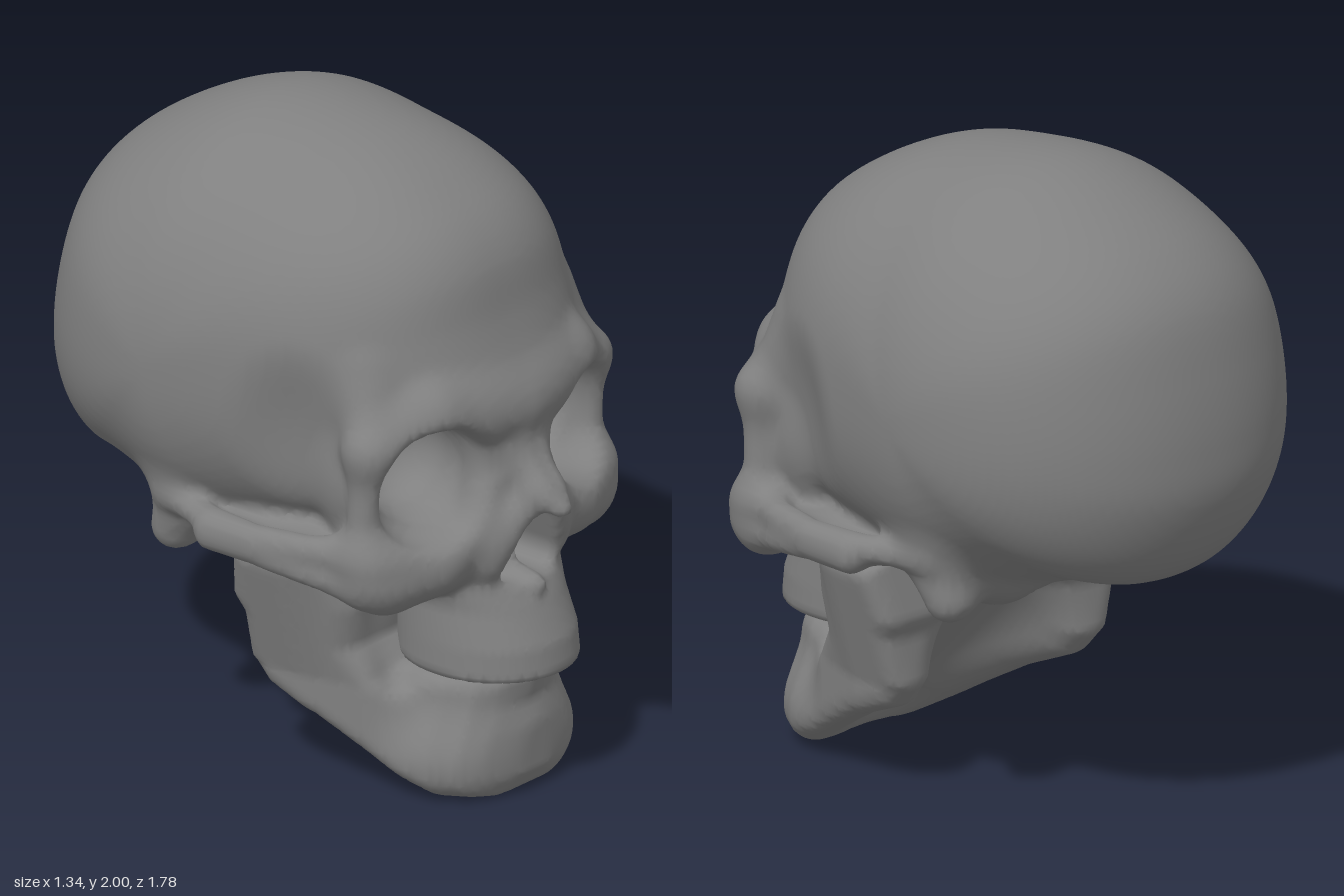
import * as THREE from 'three';

// ---- soft distance helpers; x is mirrored, so shapes are given for the left half ----
const smin = (a, b, k) => Math.min(a, b) - Math.max(k - Math.abs(a - b), 0) ** 2 / (4 * k);
const smax = (a, b, k) => -smin(-a, -b, k);
const clamp = (v) => Math.min(1, Math.max(0, v));
const { smoothstep } = THREE.MathUtils;

function ellipsoid(x, y, z, c, r) {
  const a = (x - c[0]) / r[0], b = (y - c[1]) / r[1], d = (z - c[2]) / r[2];
  const k0 = Math.hypot(a, b, d), k1 = Math.hypot(a / r[0], b / r[1], d / r[2]);
  return k1 < 1e-6 ? -Math.min(...r) : k0 * (k0 - 1) / k1;
}

// rod from a to b whose radius changes from ra to rb
function rod(x, y, z, a, b, ra, rb) {
  const u = b[0] - a[0], v = b[1] - a[1], w = b[2] - a[2];
  const t = clamp(((x - a[0]) * u + (y - a[1]) * v + (z - a[2]) * w) / (u * u + v * v + w * w));
  return Math.hypot(x - a[0] - u * t, y - a[1] - v * t, z - a[2] - w * t) - ra - (rb - ra) * t;
}

// chain of rods through points [x, y, z, radius]
function chain(x, y, z, pts) {
  let d = Infinity;
  for (let i = 1; i < pts.length; i++)
    d = Math.min(d, rod(x, y, z, pts[i - 1], pts[i], pts[i - 1][3], pts[i][3]));
  return d;
}

// lookup in rows of [key, ...values]
function lookup(rows, key, col) {
  let i = 0;
  while (i < rows.length - 2 && key > rows[i + 1][0]) i++;
  const t = clamp((key - rows[i][0]) / (rows[i + 1][0] - rows[i][0]));
  return rows[i][col] + (rows[i + 1][col] - rows[i][col]) * t;
}

// signed distance to a closed outline in the z-y plane
function outline(pts, px, py) {
  let d = Infinity, s = 1;
  for (let i = 0, j = pts.length - 1; i < pts.length; j = i++) {
    const [ax, ay] = pts[i], [bx, by] = pts[j];
    const ex = bx - ax, ey = by - ay, wx = px - ax, wy = py - ay;
    const t = clamp((wx * ex + wy * ey) / (ex * ex + ey * ey));
    d = Math.min(d, Math.hypot(wx - ex * t, wy - ey * t));
    if ((ay > py) !== (by > py) && px < ax + ex * (py - ay) / ey) s = -s;
  }
  return s * d;
}

// ---- cranium: side profile [z, y] as a polar radius, softer away from the middle ----
const CZ = -0.2, CY = 1.3, BINS = 360;
const profile = [
  [-0.15, 2], [0.12, 1.97], [0.27, 1.93], [0.42, 1.86], [0.55, 1.765], [0.62, 1.66], [0.66, 1.5],
  [0.69, 1.41], [0.74, 1.29], [0.745, 1.22], [0.715, 1.14], [0.65, 1], [0.5, 0.86], [0.25, 0.77],
  [0, 0.72], [-0.25, 0.7], [-0.42, 0.73], [-0.58, 0.785], [-0.71, 0.8], [-0.8, 0.88], [-0.885, 1.08],
  [-0.89, 1.24], [-0.857, 1.45], [-0.79, 1.66], [-0.68, 1.79], [-0.47, 1.92], [-0.29, 1.985]];
const polar = new Float32Array(BINS);
new THREE.CatmullRomCurve3(profile.map(([z, y]) => new THREE.Vector3(z, y, 0)), true)
  .getPoints(8000).forEach((p) => {
    const a = Math.atan2(p.y - CY, p.x - CZ) / (2 * Math.PI) + 1;
    polar[Math.round(a * BINS) % BINS] = Math.hypot(p.y - CY, p.x - CZ);
  });
const softPolar = polar.map((_, i) => {
  let sum = 0;
  for (let k = -24; k <= 24; k++) sum += polar[(i + k + BINS) % BINS] * (25 - Math.abs(k));
  return sum / 625;
});

function cranium(x, y, z) {
  const angle = Math.atan2(y - CY, z - CZ), a = (angle / (2 * Math.PI) + 1) * BINS, i = Math.floor(a);
  const at = (t) => t[i % BINS] + (t[(i + 1) % BINS] - t[i % BINS]) * (a - i);
  const W = 0.674 - 0.03 * smoothstep(z, -0.3, 0.15), s = clamp((x / W) ** 2 * 1.5);
  const rho = Math.hypot(y - CY, z - CZ) / (at(polar) * (1 - s) + at(softPolar) * s);
  const p = 2 + 0.4 * smoothstep(Math.cos(angle + 0.5), -0.2, 0.7) + 0.12 * smoothstep(-Math.cos(angle), 0.2, 0.9);
  return ((rho ** p + (x / W) ** p) ** (1 / p) - 1) * 0.6;
}

// ---- upper jaw: rows of [y, half width, back z, front z] ----
const maxillaRows = [[0.4, 0.25, 0.3, 0.858], [0.5, 0.25, 0.3, 0.845], [0.62, 0.245, 0.3, 0.79],
  [0.7, 0.27, 0.25, 0.745], [0.85, 0.3, 0.2, 0.72], [1, 0.3, 0.2, 0.7]];
function maxilla(x, y, z) {
  const [w, b, f] = [1, 2, 3].map((col) => lookup(maxillaRows, y, col));
  const p = 2.1 + 0.5 * clamp((y - 0.6) * 4);
  const q = ((x / w) ** p + Math.abs((z - (b + f) / 2) / ((f - b) / 2)) ** p) ** (1 / p);
  return smax((q - 1) * 0.25, Math.max(0.4 - y, y - 1), 0.02);
}

// upper and lower edge of the cheek arch
const archTop = [[0.51, 0.85, 0.5, 0.045], [0.575, 0.855, 0.36, 0.04], [0.612, 0.855, 0.19, 0.038],
  [0.605, 0.85, 0.02, 0.045], [0.53, 0.85, -0.22, 0.02]];
const archLow = [[0.51, 0.75, 0.5, 0.045], [0.575, 0.785, 0.36, 0.04], [0.612, 0.815, 0.19, 0.038],
  [0.61, 0.815, 0.02, 0.045]];

function skullField(sx, y, z) {
  const x = Math.abs(sx);
  const add = (v, k) => { d = smin(d, v, k); };
  const cut = (v, k) => { d = smax(d, -v, k); };
  let d = cranium(x, y, z);
  // temple hollow
  cut(ellipsoid(x, y, z, [0.72, 1.15, 0.36], [0.19, 0.3, 0.2]), 0.12);
  // skull base, floor behind the cheek arch, mastoid knobs
  add(ellipsoid(x, y, z, [0, 0.76, -0.1], [0.4, 0.16, 0.36]), 0.1);
  add(ellipsoid(x, y, z, [0, 0.8, 0.3], [0.36, 0.2, 0.3]), 0.08);
  add(ellipsoid(x, y, z, [0.42, 0.81, 0.2], [0.18, 0.06, 0.32]), 0.06);
  add(rod(x, y, z, [0.46, 0.86, -0.2], [0.46, 0.72, -0.25], 0.08, 0.068), 0.12);
  cut(ellipsoid(x, y, z, [0, 0.68, -0.35], [0.235, 0.25, 0.28]), 0.05);
  // upper jaw, orbit walls
  add(maxilla(x, y, z), 0.06);
  add(ellipsoid(x, y, z, [0.36, 1.04, 0.42], [0.145, 0.22, 0.14]), 0.06);
  // brow, temple ridge, outer orbit bar, lower orbit rim
  add(rod(x, y, z, [0, 1.225, 0.67], [0.3, 1.27, 0.615], 0.07, 0.065), 0.1);
  add(rod(x, y, z, [0.3, 1.27, 0.615], [0.49, 1.18, 0.54], 0.065, 0.05), 0.08);
  add(rod(x, y, z, [0.48, 1.2, 0.53], [0.42, 1.4, 0.46], 0.04, 0.01), 0.12);
  add(rod(x, y, z, [0.49, 1.18, 0.54], [0.5, 0.88, 0.52], 0.05, 0.052), 0.06);
  add(rod(x, y, z, [0.49, 0.85, 0.535], [0.3, 0.8, 0.61], 0.06, 0.08), 0.08);
  add(rod(x, y, z, [0.3, 0.8, 0.61], [0.14, 0.88, 0.655], 0.08, 0.06), 0.1);
  // cheekbone and deep, thin arch
  add(ellipsoid(x, y, z, [0.44, 0.77, 0.55], [0.11, 0.11, 0.09]), 0.12);
  add(smin(chain(x, y, z, archTop), chain(x, y, z, archLow), 0.04), 0.06);
  // eye sockets with a squarer outer lower corner
  cut(rod(x, y, z, [0.365, 1.055, 0.78], [0.24, 1.055, 0.45], 0.2, 0.15), 0.04);
  cut(ellipsoid(x, y, z, [0.365, 1, 0.62], [0.11, 0.115, 0.1]), 0.04);
  // bridge of the nose and its side walls
  add(rod(x, y, z, [0.025, 1.13, 0.64], [0.006, 0.937, 0.867], 0.08, 0.024), 0.07);
  add(rod(x, y, z, [0.055, 1.08, 0.655], [0.14, 0.84, 0.67], 0.06, 0.055), 0.06);
  add(rod(x, y, z, [0.035, 0.96, 0.785], [0.14, 0.77, 0.7], 0.035, 0.04), 0.07);
  // nose opening with its septum
  const nostril = rod(x, y, 0, [0.068, 0.735, 0], [0.035, 0.85, 0], 0.052, 0.04);
  cut(Math.max(nostril, 0.42 - z), 0.02);
  cut(Math.max(rod(x, y, 0, [0, 0.765, 0], [0, 0.855, 0], 0.09, 0.05), 0.68 - z), 0.02);
  add(rod(x, y, z, [0, 0.68, 0.7], [0, 0.668, 0.775], 0.03, 0.022), 0.03);
  return d;
}

// ---- lower jaw: side outline [z, y] with a half width that varies along z ----
const jawOutline = [[0.775, 0.395], [0.745, 0.29], [0.767, 0.22], [0.762, 0.07], [0.72, 0.005],
  [0.59, 0.005], [0.4, 0.12], [0.24, 0.21], [0.07, 0.28], [0, 0.36], [0.01, 0.52], [-0.02, 0.58],
  [0.02, 0.76], [0.33, 0.78], [0.39, 0.6], [0.37, 0.47], [0.43, 0.395]];
const jawWidth = [[-0.05, 0.44], [0.2, 0.425], [0.4, 0.37], [0.5, 0.345], [0.6, 0.315], [0.68, 0.265],
  [0.73, 0.2], [0.765, 0.12], [0.79, 0.03]];

function jawField(sx, y, z) {
  const x = Math.abs(sx), front = smoothstep(z, 0.4, 0.56);
  const flare = Math.max(0, y - 0.35) * 0.28 * clamp((0.5 - z) * 4);
  const taper = 0.075 * smoothstep(y, 0.12, 0.34) + 0.06 * clamp(1 - y * 9) ** 2;
  let d = smax(outline(jawOutline, z, y), (x - lookup(jawWidth, z, 1) - flare + front * taper) * 0.8, 0.07);
  // hollow below, and the gap between the upper jaw and each upright branch
  d = smax(d, -rod(x, y, z, [0, 0.36, -0.12], [0, 0.02, 0.38], 0.31, 0.17), 0.09);
  d = smax(d, -rod(x, y, z, [0.275, 0.66, 0.45], [0.285, 0.38, 0.47], 0.05, 0.03), 0.08);
  return d;
}

// ---- turns a field into a smooth closed surface, one vertex per crossed cell ----
function surface(field, min, max, h) {
  const n = min.map((m, i) => Math.ceil((max[i] - m) / h) + 1);
  const step = [1, n[0], n[0] * n[1]], val = new Float32Array(n[0] * n[1] * n[2]);
  const each = (lo, fn) => {
    for (let k = lo; k < n[2] - 1; k++) for (let j = lo; j < n[1] - 1; j++)
      for (let i = lo; i < n[0] - 1; i++) fn([i, j, k], i + j * step[1] + k * step[2]);
  };
  for (let k = 0, o = 0; k < n[2]; k++) for (let j = 0; j < n[1]; j++)
    for (let i = 0; i < n[0]; i++) val[o++] = field(min[0] + i * h, min[1] + j * h, min[2] + k * h);
  const id = new Int32Array(val.length).fill(-1), pos = [], index = [];
  each(0, (c, o) => {
    const sum = [0, 0, 0];
    let count = 0;
    for (let a = 0; a < 3; a++) for (let m = 0; m < 4; m++) {
      const b = (a + 1) % 3, e = (a + 2) % 3, ub = m & 1, ue = m >> 1;
      const s = o + ub * step[b] + ue * step[e], v0 = val[s], v1 = val[s + step[a]];
      if ((v0 < 0) === (v1 < 0)) continue;
      sum[a] += v0 / (v0 - v1); sum[b] += ub; sum[e] += ue; count++;
    }
    if (!count) return;
    let p = c.map((v, i) => min[i] + (v + sum[i] / count) * h);
    for (let r = 0; r < 2; r++) { // settle the vertex onto the surface
      const f = field(...p);
      const g = [0, 1, 2].map((i) => (field(...p.map((v, q) => v + (q === i ? 0.004 : 0))) - f) / 0.004);
      const l = Math.max(0.1, g[0] ** 2 + g[1] ** 2 + g[2] ** 2);
      p = p.map((v, i) => v - Math.max(-h / 2, Math.min(h / 2, f * g[i] / l)));
    }
    id[o] = pos.length / 3;
    pos.push(...p);
  });
  each(1, (c, o) => {
    for (let a = 0; a < 3; a++) {
      const inside = val[o] < 0;
      if (inside === (val[o + step[a]] < 0)) continue;
      const b = step[(a + 1) % 3], e = step[(a + 2) % 3];
      const q = [id[o - b - e], id[o - e], id[o], id[o - b]];
      if (!inside) q.reverse();
      index.push(q[0], q[1], q[2], q[0], q[2], q[3]);
    }
  });
  const geo = new THREE.BufferGeometry();
  geo.setAttribute('position', new THREE.Float32BufferAttribute(pos, 3));
  geo.setIndex(index);
  geo.computeVertexNormals();
  return geo;
}

export function createModel() {
  const bone = new THREE.MeshStandardMaterial({ color: 0x808080, name: 'grey bone' });
  const group = new THREE.Group();
  group.name = 'skull';
  const part = (name, geo) => {
    group.add(new THREE.Mesh(geo, bone));
    group.children.at(-1).name = name;
  };
  part('craniumAndFace', surface(skullField, [-0.75, 0.33, -0.96], [0.75, 2.07, 0.98], 0.02));
  part('lowerJaw', surface(jawField, [-0.65, -0.06, -0.1], [0.65, 0.86, 0.86], 0.02));
  return group;
}
